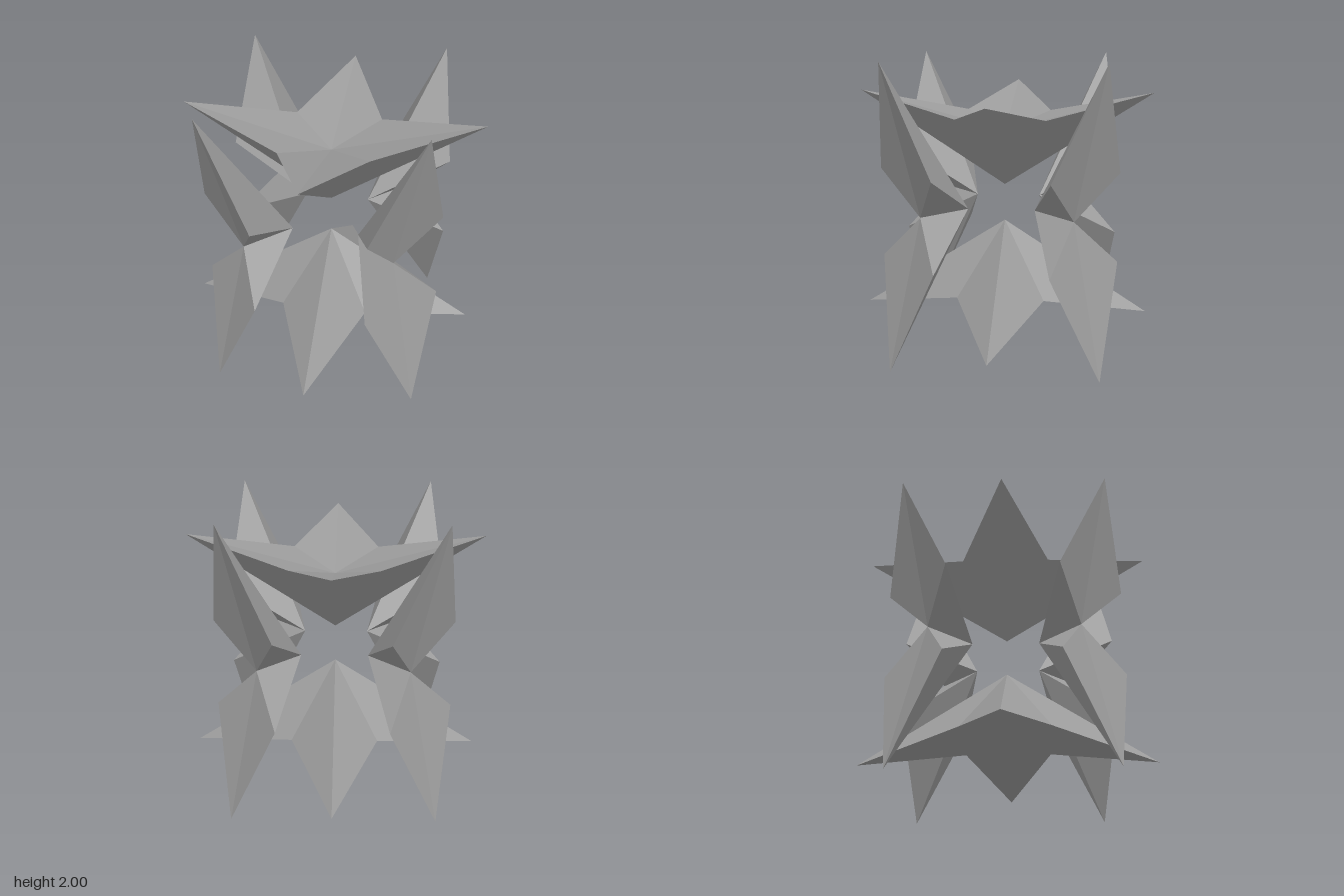
import * as THREE from 'three';

const material = new THREE.MeshStandardMaterial({ color: 0x9b9b9b, flatShading: true });

// Faceted spike solid: an outer fan around hub and an inner fan around apex.
// The rim runs counterclockwise seen from outside; it may pass through the hub.
function spikeGeometry(rim, hub, apex) {
  const points = [];
  rim.forEach((a, i) => {
    const b = rim[(i + 1) % rim.length];
    if (a !== hub && b !== hub) points.push(...hub, ...a, ...b);
    points.push(...apex, ...b, ...a);
  });
  const geometry = new THREE.BufferGeometry();
  geometry.setAttribute('position', new THREE.Float32BufferAttribute(points, 3));
  geometry.computeVertexNormals();
  return geometry;
}

export function createModel() {
  const model = new THREE.Group();
  model.name = 'stellatedShell';

  // Kite-shaped spike, pointing up on the front side (heights relative to the middle)
  const hub = [0, 0, 0.697];
  const kite = spikeGeometry(
    [hub, [0.296, 0.295, 0.802], [0, 1, 0.961], [-0.296, 0.295, 0.802]],
    hub, [0, 0, 0.317]
  );

  // Two opposed spikes on each of the four sides
  const sideNames = ['front', 'left', 'back', 'right'];
  sideNames.forEach((name, i) => {
    const side = new THREE.Group();
    side.name = name + 'Spikes';
    for (const [part, turn] of [['upperSpike', 0], ['lowerSpike', Math.PI]]) {
      const spike = new THREE.Mesh(kite, material);
      spike.name = part;
      spike.rotation.z = turn;
      side.add(spike);
    }
    side.rotation.y = i * Math.PI / 2;
    side.position.y = 1;
    model.add(side);
  });

  // Four-pointed star caps, tips on the diagonals
  const rim = [];
  for (let i = 0; i < 8; i++) {
    const a = i * Math.PI / 4;
    const [r, y] = i % 2 ? [0.995, 0.768] : [0.418, 0.61];
    rim.push([r * Math.cos(a), y, -r * Math.sin(a)]);
  }
  const star = spikeGeometry(rim, [0, 0.505, 0], [0, 0.128, 0]);
  for (const [name, turn] of [['topStar', 0], ['bottomStar', Math.PI]]) {
    const cap = new THREE.Mesh(star, material);
    cap.name = name;
    cap.rotation.x = turn;
    cap.position.y = 1;
    model.add(cap);
  }
  return model;
}
